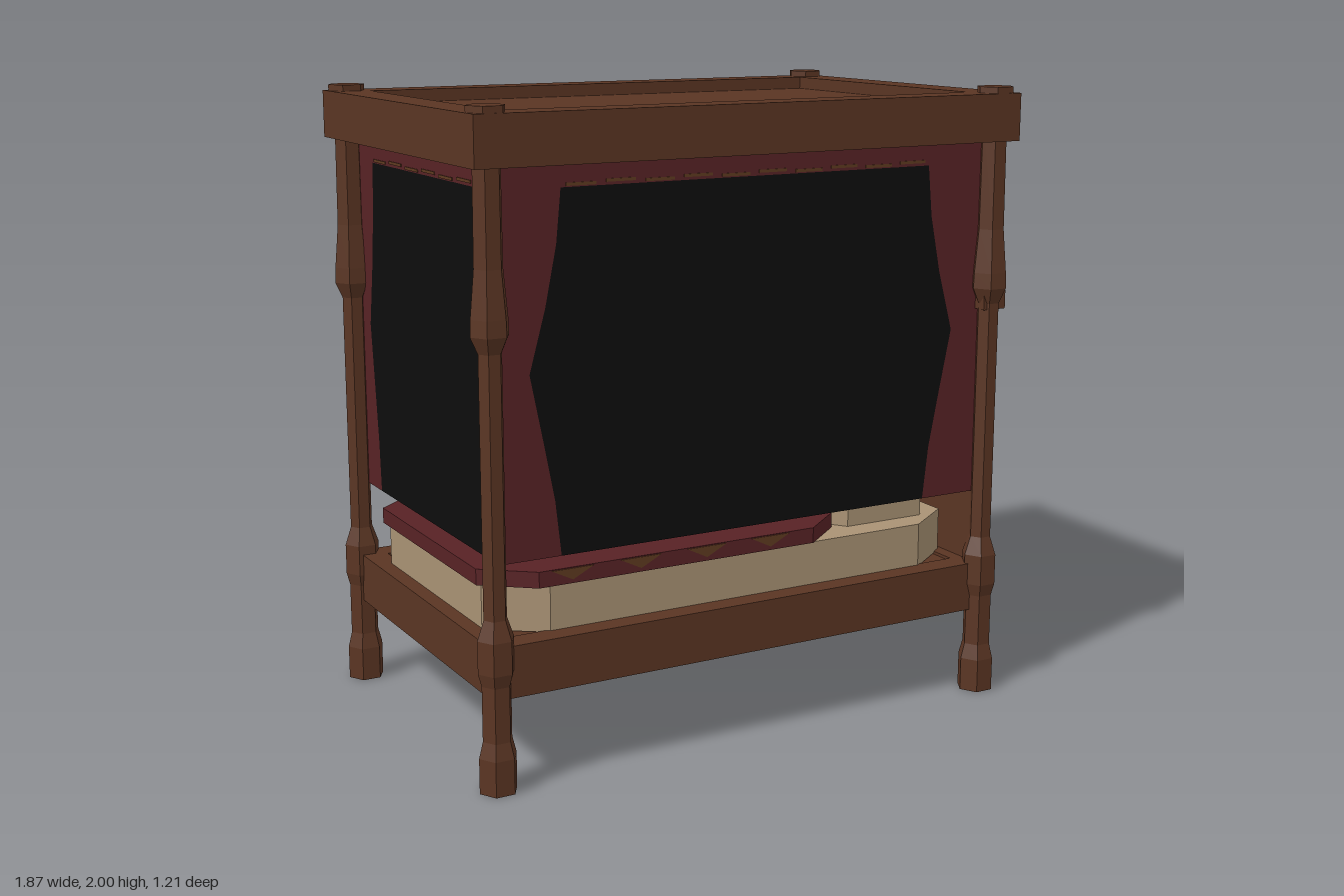
import * as THREE from 'three';

const mat = (name, color, opts = {}) =>
  new THREE.MeshStandardMaterial({ name, color, flatShading: true, ...opts });

export function createModel() {
  const bed = new THREE.Group();
  bed.name = 'canopyBed';
  const wood = mat('wood', 0x5a3523);
  const red = mat('redCloth', 0x582225, { side: THREE.DoubleSide });
  const black = mat('darkOpening', 0x0d0d0d, { side: THREE.DoubleSide });
  const cream = mat('creamLinen', 0xa99274);
  const trim = mat('brownTrim', 0x5e3a20);

  const add = (name, geo, material, x = 0, y = 0, z = 0, parent = bed) => {
    const m = new THREE.Mesh(geo, material);
    m.name = name;
    m.position.set(x, y, z);
    parent.add(m);
    return m;
  };
  const box = (name, m, x0, x1, y0, y1, z0, z1) =>
    add(name, new THREE.BoxGeometry(x1 - x0, y1 - y0, z1 - z0), m, (x0 + x1) / 2, (y0 + y1) / 2, (z0 + z1) / 2);
  const shapeOf = (pts) => new THREE.Shape(pts.map(([x, y]) => new THREE.Vector2(x, y)));
  const rect = (x, z) => [[-x, -z], [x, -z], [x, z], [-x, z]];
  // Horizontal plate from a plan outline, with an optional hole
  const slab = (name, m, pts, y0, y1, hole) => {
    const s = shapeOf(pts);
    if (hole) s.holes.push(shapeOf(hole));
    const g = new THREE.ExtrudeGeometry(s, { depth: y1 - y0, bevelEnabled: false });
    return add(name, g.rotateX(-Math.PI / 2), m, 0, y0, 0);
  };
  // Plan outline with four cut corners
  const cut = (x0, x1, z, cx, cz) => [
    [x0 + cx, -z], [x1 - cx, -z], [x1, -z + cz], [x1, z - cz],
    [x1 - cx, z], [x0 + cx, z], [x0, z - cz], [x0, -z + cz],
  ];

  // Four turned hexagonal posts
  const profile = [[0, 0], [0.06, 0], [0.06, 0.11], [0.047, 0.16], [0.047, 0.33], [0.058, 0.37],
    [0.058, 0.47], [0.037, 0.53], [0.037, 1.31], [0.06, 1.36], [0.058, 1.41], [0.045, 1.55],
    [0.043, 1.9], [0.06, 1.93], [0.06, 2], [0, 2]].map(([r, y]) => new THREE.Vector2(r, y));
  const postGeo = new THREE.LatheGeometry(profile, 6).rotateY(Math.PI / 2);
  for (const x of [-0.875, 0.875]) for (const z of [-0.55, 0.55]) add('post', postGeo, wood, x, 0, z);

  // Canopy frame with sunken top, lower rails and base board
  slab('canopyFrame', wood, rect(0.935, 0.605), 1.83, 1.98, rect(0.815, 0.49));
  slab('canopyPanel', wood, rect(0.82, 0.495), 1.88, 1.94);
  slab('bedRails', wood, rect(0.89, 0.56), 0.28, 0.44, rect(0.81, 0.48));
  slab('baseBoard', wood, rect(0.82, 0.49), 0.38, 0.43);

  // Headboard and its cap
  box('headboard', wood, 0.855, 0.905, 0.28, 1.3, -0.55, 0.55);
  box('headboardCap', wood, 0.84, 0.925, 1.29, 1.35, -0.575, 0.575);

  // Mattress, blanket and pillow
  slab('mattress', cream, cut(-0.84, 0.84, 0.49, 0.17, 0.12), 0.435, 0.58);
  slab('blanket', red, cut(-0.86, 0.4, 0.5, 0.15, 0.12), 0.58, 0.63);
  slab('pillow', cream, cut(0.4, 0.79, 0.4, 0.05, 0.07), 0.58, 0.7);

  // Diamonds on the blanket top and edges
  const diamond = shapeOf([[0, -0.07], [0.09, 0], [0, 0.07], [-0.09, 0]]);
  const diamondGeo = new THREE.ExtrudeGeometry(diamond, { depth: 0.004, bevelEnabled: false }).rotateX(-Math.PI / 2);
  const wedgeGeo = new THREE.ExtrudeGeometry(shapeOf([[-0.07, 0.047], [0, 0.012], [0.07, 0.047]]),
    { depth: 0.003, bevelEnabled: false });
  for (let i = 0; i < 4; i++) {
    const x = -0.6 + i * 0.23;
    for (let j = -1; j <= 1; j++) add('blanketDiamond', diamondGeo, trim, x, 0.629, j * 0.28);
    for (const s of [0, 1]) {
      const w = add('blanketWedge', wedgeGeo, trim, x, 0.58, s ? -0.5 : 0.5);
      w.rotation.y = s * Math.PI;
    }
  }

  // Curtain wall: dark centre, tied red drapes at both sides, red valance
  const curtain = (name, half, inner, x, z, turn) => {
    const g = new THREE.Group();
    g.name = name;
    const [top, mid, low] = inner;
    const edge = [[low, 0.68], [low + (mid - low) * 0.2, 0.85], [low + (mid - low) * 0.55, 1.02], [mid, 1.23],
      [top + (mid - top) * 0.5, 1.42], [top + (mid - top) * 0.15, 1.6], [top, 1.76]];
    const mirror = (pts) => pts.map(([a, b]) => [-a, b]);
    const flat = (n, m, pts) => add(n, new THREE.ShapeGeometry(shapeOf(pts)), m, 0, 0, 0, g);
    flat('curtainOpening', black, [...edge, ...mirror(edge).reverse()]);
    const drape = [[half, 0.68], [half, 1.76], ...[...edge].reverse()];
    flat('drape', red, drape);
    flat('drape', red, mirror(drape));
    flat('valance', red, [[-half, 1.76], [half, 1.76], [half, 1.88], [-half, 1.88]]);
    // Broken trim line along the valance hem
    const n = Math.round(top * 16);
    const dash = new THREE.BoxGeometry((2 * top / n) * 0.75, 0.009, 0.006);
    for (let i = 0; i < n; i++)
      add('valanceTrim', dash, trim, -top + (i + 0.5) * (2 * top / n), 1.768 + (i % 2) * 0.005, 0, g);
    g.position.set(x, 0, z);
    g.rotation.y = turn;
    bed.add(g);
  };
  for (const s of [1, -1]) {
    curtain('sideCurtain', 0.855, [0.64, 0.745, 0.65], 0, s * 0.53, s > 0 ? 0 : Math.PI);
    curtain('endCurtain', 0.53, [0.4, 0.465, 0.41], s * 0.85, 0, s * Math.PI / 2);
  }
  return bed;
}
